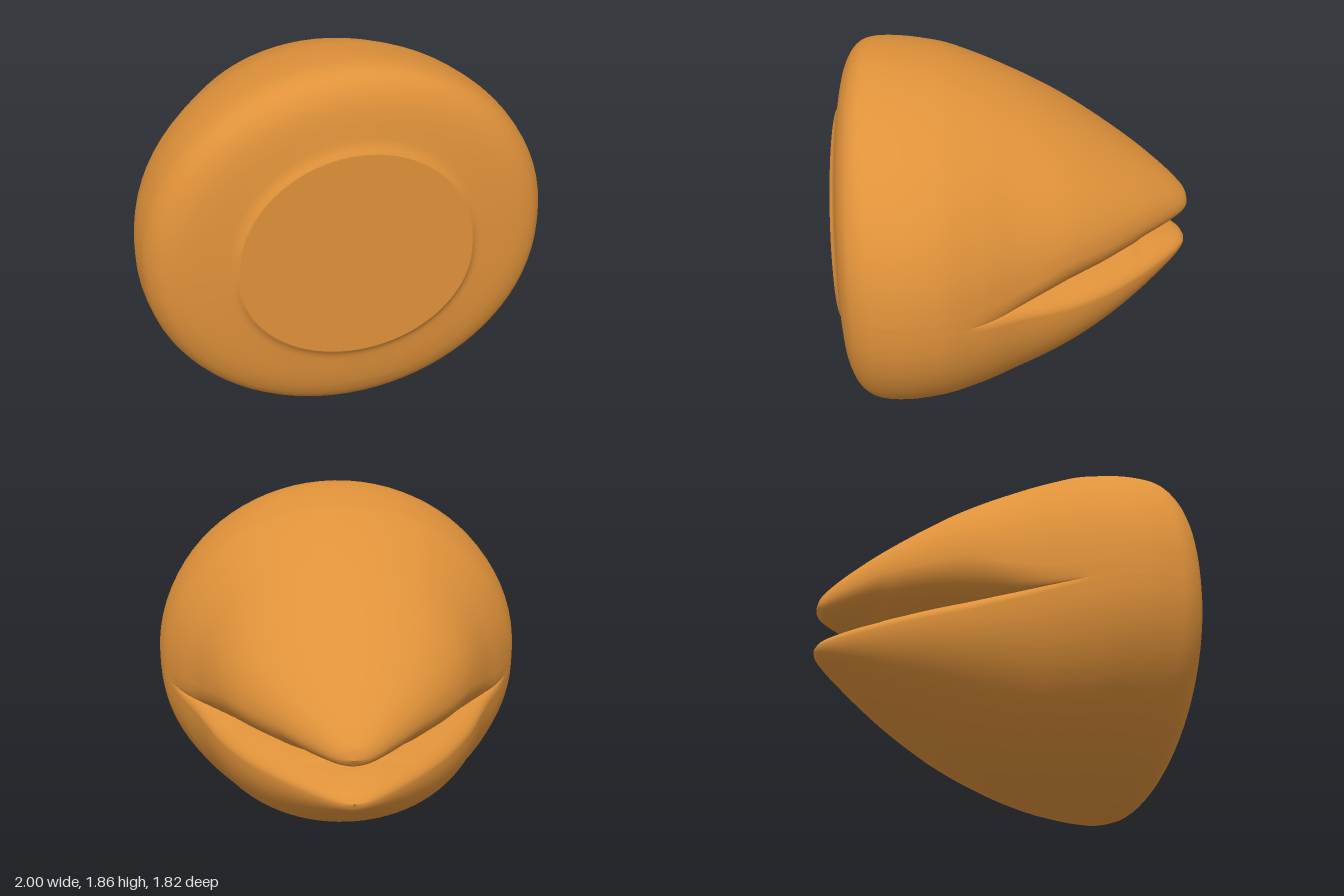
import * as THREE from 'three';

// Monotone smooth interpolation through [z, value] keys listed from front to back
function track(...keys) {
  const n = keys.length;
  const slope = i => (keys[i + 1][1] - keys[i][1]) / (keys[i + 1][0] - keys[i][0]);
  const tangents = keys.map((k, i) => {
    if (i === 0) return slope(0);
    if (i === n - 1) return slope(n - 2);
    const a = slope(i - 1), b = slope(i);
    return a * b <= 0 ? 0 : 2 * a * b / (a + b);
  });
  return z => {
    if (z >= keys[0][0]) return keys[0][1];
    if (z <= keys[n - 1][0]) return keys[n - 1][1];
    let i = 0;
    while (z < keys[i + 1][0]) i++;
    const h = keys[i + 1][0] - keys[i][0], t = (z - keys[i][0]) / h;
    const t2 = t * t, t3 = t2 * t;
    return (2 * t3 - 3 * t2 + 1) * keys[i][1] + (t3 - 2 * t2 + t) * h * tangents[i]
      + (3 * t2 - 2 * t3) * keys[i + 1][1] + (t3 - t2) * h * tangents[i + 1];
  };
}

const FRONT = 0.91, BACK = -0.913, ROWS = 90, QUARTER = 20;

// Half width in plan
const width = track([0.91, 0.565], [0.885, 0.605], [0.875, 0.7], [0.85, 0.84], [0.8, 0.93], [0.7, 0.985],
  [0.55, 1], [0.4, 0.98], [0.2, 0.895], [0, 0.78], [-0.2, 0.68], [-0.4, 0.56], [-0.6, 0.4],
  [-0.8, 0.2], [-0.88, 0.1], [-0.905, 0.05], [-0.913, 0.004]);

// How far the mouth crease reaches out, as a fraction of the half width
const crease = track([0.25, 1], [0.1, 0.97], [0, 0.92], [-0.2, 0.72], [-0.4, 0.47], [-0.58, 0.1], [-0.63, 0]);

const upper = {
  outer: track([0.91, 1.5], [0.885, 1.555], [0.875, 1.63], [0.85, 1.74], [0.8, 1.82], [0.75, 1.85], [0.68, 1.858],
    [0.4, 1.825], [0.2, 1.765], [0, 1.68], [-0.15, 1.6], [-0.46, 1.4], [-0.735, 1.2],
    [-0.85, 1.1], [-0.9, 1.04], [-0.913, 0.992]),
  widest: track([0.91, 0.95], [0.2, 0.94], [0.1, 0.95], [-0.1, 1.0], [-0.3, 1.05], [-0.6, 1.05], [-0.8, 1.02], [-0.913, 0.99]),
  seam: track([0.91, 0.93], [0.4, 0.89], [0.1, 0.86], [-0.6, 0.86], [-0.64, 0.88], [-0.7, 0.893],
    [-0.8, 0.915], [-0.885, 0.945], [-0.913, 0.988]),
};

const lower = {
  outer: track([0.91, 0.42], [0.885, 0.37], [0.875, 0.29], [0.85, 0.17], [0.8, 0.07], [0.75, 0.025], [0.65, 0.002],
    [0.4, 0.03], [0.2, 0.075], [0, 0.14], [-0.14, 0.2], [-0.48, 0.4], [-0.76, 0.6],
    [-0.85, 0.67], [-0.9, 0.72], [-0.913, 0.752]),
  widest: track([0.91, 0.91], [0.4, 0.87], [0.1, 0.82], [-0.1, 0.79], [-0.3, 0.76], [-0.6, 0.75], [-0.913, 0.754]),
  seam: track([0.91, 0.93], [0.4, 0.89], [0.1, 0.86], [-0.6, 0.86], [-0.64, 0.85], [-0.7, 0.842],
    [-0.8, 0.82], [-0.885, 0.79], [-0.913, 0.756]),
};

// Cross-section from the right-hand seam, round the lip and over the crown, to the other seam
function section(half, z) {
  const w = width(z), s = w * crease(z);
  const wide = half.widest(z), seam = half.seam(z), outer = half.outer(z);
  const side = [];
  for (let j = 0; j <= QUARTER; j++) {
    const a = j / QUARTER * Math.PI / 2;
    side.push([s + (w - s) * Math.sin(a), wide + (seam - wide) * Math.cos(a)]);
  }
  for (let j = 1; j <= QUARTER; j++) {
    const a = j / QUARTER * Math.PI / 2;
    side.push([w * Math.cos(a), wide + (outer - wide) * Math.sin(a)]);
  }
  return side.concat(side.slice(0, -1).reverse().map(([x, y]) => [-x, y]));
}

// Loft one half of the bill from front to tip
function loft(half, flip) {
  const points = [], index = [];
  const count = section(half, 0).length;
  for (let i = 0; i <= ROWS; i++) {
    const z = (FRONT + BACK) / 2 + (FRONT - BACK) / 2 * Math.cos(Math.PI * i / ROWS);
    for (const [x, y] of section(half, z)) points.push(x, y, z);
    if (i === ROWS) break;
    for (let j = 0; j < count - 1; j++) {
      const a = i * count + j, b = a + count;
      if (flip) index.push(a, a + 1, b, b, a + 1, b + 1);
      else index.push(a, b, a + 1, b, b + 1, a + 1);
    }
  }
  const geometry = new THREE.BufferGeometry();
  geometry.setAttribute('position', new THREE.Float32BufferAttribute(points, 3));
  geometry.setIndex(index);
  geometry.computeVertexNormals();
  return geometry;
}

export function createModel() {
  const group = new THREE.Group();
  group.name = 'beak';
  const orange = new THREE.MeshStandardMaterial({ color: 0xe0923a });
  orange.name = 'orange';

  const add = (name, geometry) => {
    const mesh = new THREE.Mesh(geometry, orange);
    mesh.name = name;
    group.add(mesh);
    return mesh;
  };

  add('upperBill', loft(upper, false));
  add('lowerBill', loft(lower, true));

  // Flat round face closing the front
  const rim = section(upper, FRONT).concat(section(lower, FRONT).reverse());
  const face = new THREE.Shape(rim.map(([x, y]) => new THREE.Vector2(x, y)));
  add('frontFace', new THREE.ShapeGeometry(face)).position.z = FRONT;

  return group;
}
